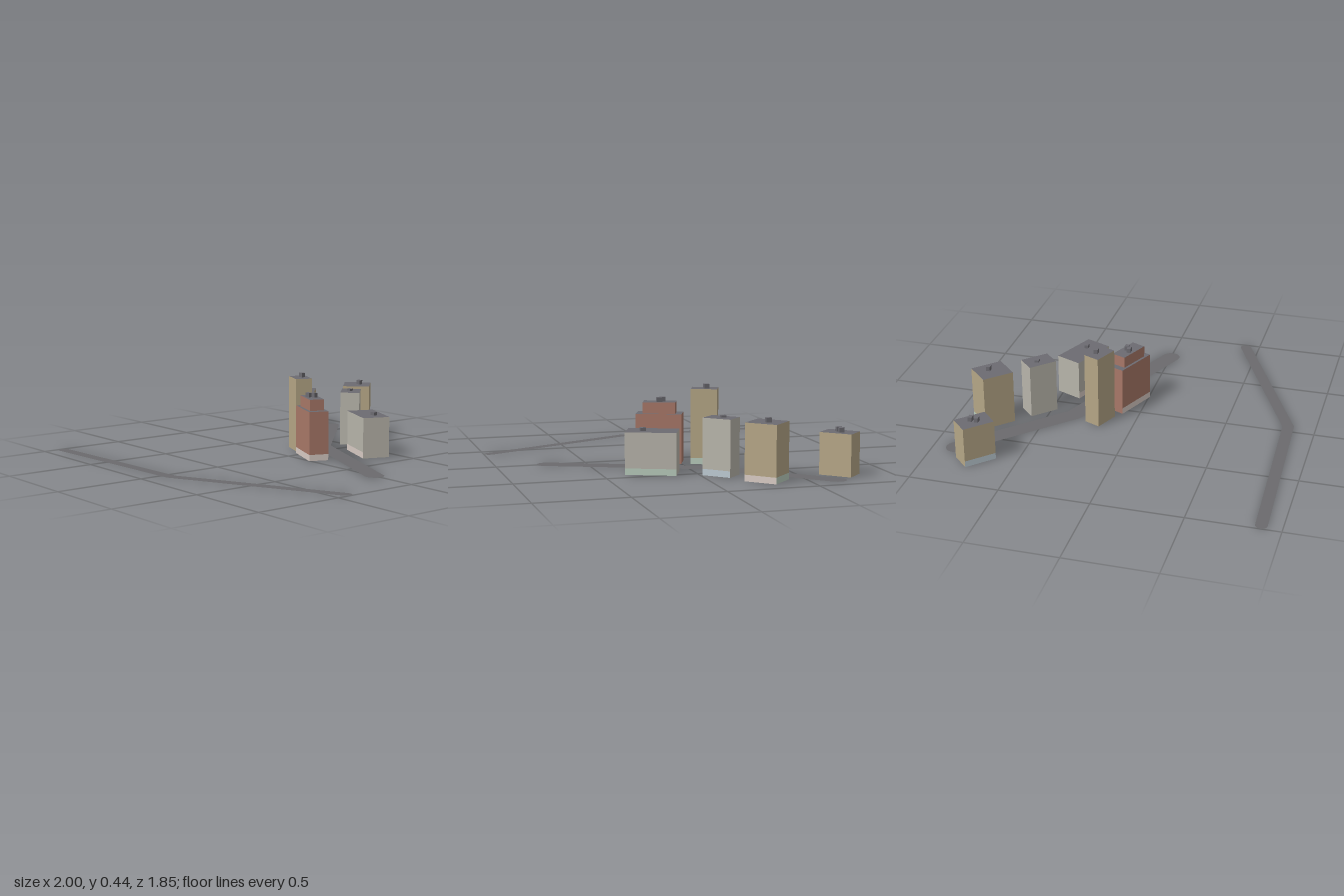
import * as THREE from 'three';

const mat = (name, color, side = THREE.DoubleSide) => {
  const m = new THREE.MeshStandardMaterial({ color, side });
  m.name = name;
  return m;
};

const BAND = 0.035; // ground floor height

// Flat ribbon road with a mitred bend and rounded ends, points are [x, z]
function road(name, pts, r, material) {
  const [a, b, c] = pts.map(([x, z]) => new THREE.Vector2(x, -z));
  const d1 = b.clone().sub(a).normalize();
  const d2 = c.clone().sub(b).normalize();
  const n1 = new THREE.Vector2(-d1.y, d1.x);
  const n2 = new THREE.Vector2(-d2.y, d2.x);
  const m = n1.clone().add(n2).normalize();
  m.multiplyScalar(r / m.dot(n1));
  const outline = [b.clone().sub(m)];
  const cap = (p, n) => {
    const start = Math.atan2(n.y, n.x);
    for (let i = 0; i <= 12; i++) {
      const t = start + Math.PI * i / 12;
      outline.push(new THREE.Vector2(p.x + r * Math.cos(t), p.y + r * Math.sin(t)));
    }
  };
  cap(c, n2.clone().negate());
  outline.push(b.clone().add(m));
  cap(a, n1);
  const geo = new THREE.ShapeGeometry(new THREE.Shape(outline)).rotateX(-Math.PI / 2);
  const mesh = new THREE.Mesh(geo, material);
  mesh.name = name;
  mesh.position.y = 0.001;
  return mesh;
}

// Open-bottomed block; bands give the ground floor material of each side
function block(w, d, y0, y1, wall, roof, bands = {}) {
  const g = new THREE.Group();
  const sides = [['front', w, d, 0], ['right', d, w, 1], ['back', w, d, 2], ['left', d, w, 3]];
  for (const [side, width, depth, turn] of sides) {
    const panel = (name, low, high, material) => {
      const geo = new THREE.PlaneGeometry(width, high - low);
      geo.translate(0, (low + high) / 2, depth / 2).rotateY(turn * Math.PI / 2);
      const mesh = new THREE.Mesh(geo, material);
      mesh.name = name;
      g.add(mesh);
    };
    const band = bands[side];
    if (band) panel(side + 'GroundFloor', y0, y0 + BAND, band);
    panel(side + 'Wall', band ? y0 + BAND : y0, y1, wall);
  }
  const top = new THREE.Mesh(new THREE.PlaneGeometry(w, d).rotateX(-Math.PI / 2), roof);
  top.position.y = y1;
  top.name = 'roof';
  g.add(top);
  return g;
}

export function createModel() {
  const tan = mat('tan wall', 0xb5a686);
  const grey = mat('grey wall', 0xb8b5ab);
  const brick = mat('brick wall', 0xa87868);
  const roof = mat('roof grey', 0x6c6b71);
  const asphalt = mat('asphalt', 0x6b6a6d);
  const blue = mat('pale blue shopfront', 0xbccad2);
  const pink = mat('pale pink shopfront', 0xd8cbc4);
  const mint = mat('pale mint shopfront', 0xb9cdbd);

  const model = new THREE.Group();
  model.name = 'streetBlock';

  model.add(road('mainRoad', [[-0.645, -0.876], [-0.128, -0.357], [0.719, 0]], 0.053, asphalt));
  model.add(road('sideRoad', [[-0.968, 0.89], [0.055, 0.846], [0.967, 0.42]], 0.032, asphalt));

  // Buildings: centre, footprint, height, turn in degrees, rooftop units in world x, z
  const buildings = [
    { name: 'westHouse', at: [-0.722, -0.728], size: [0.181, 0.123], h: 0.23, turn: 45, wall: tan,
      bands: { front: blue }, units: [[-0.722, -0.745], [-0.722, -0.71]] },
    { name: 'northHouse', at: [-0.291, -0.779], size: [0.181, 0.159], h: 0.31, turn: 45, wall: tan,
      bands: { right: blue, back: pink, left: mint }, units: [[-0.29, -0.798]] },
    { name: 'narrowHouse', at: [-0.11, -0.567], size: [0.164, 0.112], h: 0.31, turn: 45, wall: grey,
      bands: { back: blue }, units: [[-0.12, -0.57]], unitHeight: 0.012 },
    { name: 'wideHouse', at: [0.224, -0.404], size: [0.277, 0.155], h: 0.23, turn: 22.8, wall: grey,
      bands: { front: pink, back: mint }, units: [[0.276, -0.4]], unitHeight: 0.018 },
    { name: 'tower', at: [-0.135, -0.2], size: [0.145, 0.096], h: 0.42, turn: 22.8, wall: tan,
      bands: { back: mint }, units: [[-0.14, -0.215]] },
    { name: 'brickHouse', at: [0.094, -0.095], size: [0.255, 0.111], h: 0.277, turn: 22.8, wall: brick,
      bands: { front: pink, right: pink }, upper: [0.183, 0.083, 0.34],
      units: [[0.1, -0.106], [0.074, -0.086]] },
  ];

  for (const b of buildings) {
    const house = new THREE.Group();
    house.name = b.name;
    house.position.set(b.at[0], 0, b.at[1]);

    const body = block(...b.size, 0, b.h, b.wall, roof, b.bands);
    body.name = 'body';
    body.rotation.y = -THREE.MathUtils.degToRad(b.turn);
    house.add(body);

    let top = b.h;
    if (b.upper) {
      const [w, d, h] = b.upper;
      const tier = block(w, d, b.h, h, b.wall, roof);
      tier.name = 'upperTier';
      tier.rotation.y = body.rotation.y;
      house.add(tier);
      top = h;
    }

    // Rooftop units stay square to the axes
    const uh = b.unitHeight ?? 0.025;
    for (const [x, z] of b.units) {
      const unit = new THREE.Mesh(new THREE.BoxGeometry(0.03, uh, 0.022), roof);
      unit.name = 'rooftopUnit';
      unit.position.set(x - b.at[0], top + uh / 2, z - b.at[1]);
      house.add(unit);
    }
    model.add(house);
  }
  return model;
}
